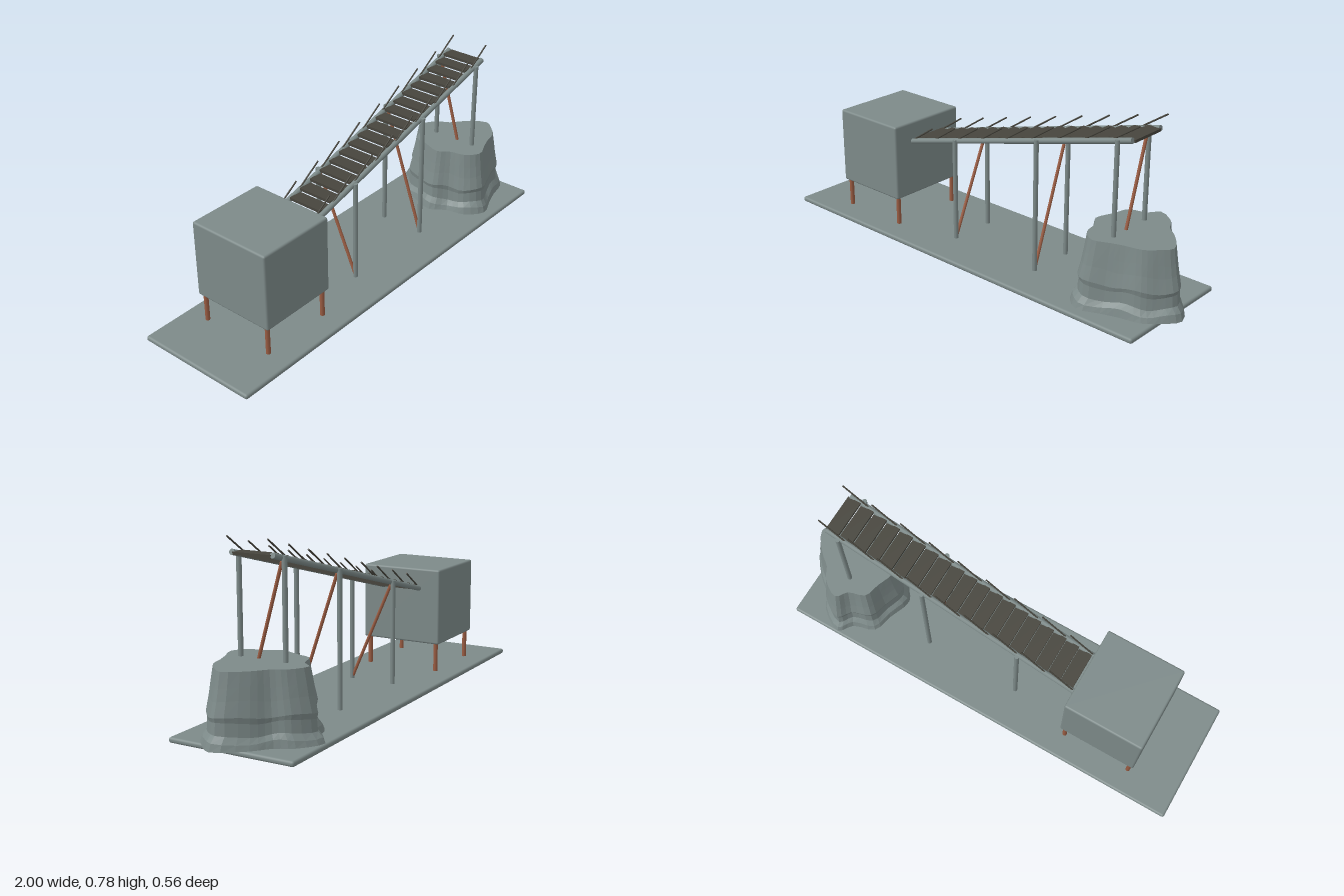
import * as THREE from 'three';
import { RoundedBoxGeometry } from 'three/addons/geometries/RoundedBoxGeometry.js';

const mat = (name, color, extra = {}) => {
  const m = new THREE.MeshStandardMaterial({ color, ...extra });
  m.name = name;
  return m;
};

export function createModel() {
  const model = new THREE.Group();
  model.name = 'rampAndRock';
  const grey = mat('slateGrey', 0x7d8a89);
  const stone = mat('slateGreyFaceted', 0x7d8a89, { flatShading: true });
  const rust = mat('rustBrown', 0x9a5c42);
  const dark = mat('darkWood', 0x47453d);

  const add = (name, geometry, material, x = 0, y = 0, z = 0) => {
    const mesh = new THREE.Mesh(geometry, material);
    mesh.name = name;
    mesh.position.set(x, y, z);
    model.add(mesh);
    return mesh;
  };
  // Round bar between two points
  const bar = (name, a, b, radius, material, sides = 10) => {
    const p = new THREE.Vector3(...a), q = new THREE.Vector3(...b);
    const dir = q.clone().sub(p);
    const mesh = add(name, new THREE.CylinderGeometry(radius, radius, dir.length(), sides), material);
    mesh.position.copy(p).add(q).multiplyScalar(0.5);
    mesh.quaternion.setFromUnitVectors(new THREE.Vector3(0, 1, 0), dir.normalize());
    return mesh;
  };

  // Base plate
  add('basePlate', new RoundedBoxGeometry(1.93, 0.023, 0.56, 2, 0.01), grey, -0.035, 0.0115, 0);

  // Cabin on four stilts
  add('cabin', new RoundedBoxGeometry(0.36, 0.345, 0.385, 2, 0.009), grey, -0.605, 0.3225, 0);
  for (const x of [-0.765, -0.445])
    for (const z of [-0.17, 0.17])
      bar('cabinLeg', [x, 0.02, z], [x, 0.16, z], 0.01, rust);

  // Sloped walkway: side beams, planks and slanted rail rods
  const deckY = (x) => 0.404 + (x + 0.43) * 0.264;
  for (const z of [-0.09, 0.09]) {
    bar('sideBeam', [-0.43, deckY(-0.43), z], [0.76, deckY(0.76), z], 0.012, grey);
    for (let i = 0; i < 9; i++) {
      const x = -0.435 + i * 0.136;
      bar('railRod', [x, deckY(x), z], [x + 0.136, deckY(x) + 0.091, z], 0.0035, dark, 8);
    }
  }
  for (let i = 0; i < 19; i++) {
    const x = -0.38 + i * 0.062;
    add('plank', new THREE.BoxGeometry(0.061, 0.012, 0.166), dark, x, deckY(x) + 0.002, 0);
  }

  // Post pairs with diagonal braces
  for (const x of [-0.15, 0.305, 0.7]) {
    for (const z of [-0.102, 0.102])
      bar('post', [x, 0.02, z], [x, deckY(x) + 0.008, z], 0.0105, grey);
    bar('brace', [x, 0.025, 0.102], [x, deckY(x) - 0.015, -0.09], 0.007, rust);
  }

  // Rock: lobed outline repeated at shrinking levels
  const cx = 0.73, cz = -0.005;
  const outline = [
    [0.995, 0.04], [0.945, 0.11], [0.885, 0.16], [0.8, 0.18], [0.725, 0.205], [0.63, 0.238],
    [0.555, 0.175], [0.535, 0.09], [0.49, 0.02], [0.525, -0.09], [0.553, -0.18],
    [0.65, -0.215], [0.7, -0.272], [0.805, -0.21], [0.845, -0.14], [0.915, -0.08],
  ].map(([x, z]) => new THREE.Vector3(x - cx, 0, z - cz));
  const ring = new THREE.CatmullRomCurve3(outline, true).getPoints(48).slice(0, 48);
  const levels = [
    [0.023, 1], [0.05, 0.965], [0.072, 0.89], [0.12, 0.875],
    [0.14, 0.895], [0.2, 0.84], [0.25, 0.805], [0.31, 0.765],
  ];
  const n = ring.length, pos = [], idx = [];
  levels.forEach(([y, s], k) => ring.forEach((p, i) => {
    const wobble = k > 0 && k < 7 ? 0.006 * Math.sin(i * 0.79 + k * 0.6) : 0;
    pos.push(cx + p.x * s, y + wobble, cz + p.z * s);
  }));
  const bottom = pos.length / 3;
  pos.push(cx, levels[0][0], cz, cx, 0.31, cz);
  const last = (levels.length - 1) * n;
  for (let i = 0; i < n; i++) {
    const j = (i + 1) % n;
    for (let k = 0; k < levels.length - 1; k++) {
      const a = k * n + i, b = k * n + j;
      idx.push(a, a + n, b, b, a + n, b + n);
    }
    idx.push(bottom, i, j, bottom + 1, last + j, last + i);
  }
  const rock = new THREE.BufferGeometry();
  rock.setAttribute('position', new THREE.Float32BufferAttribute(pos, 3));
  // The outline runs clockwise seen from below, so side and cap faces point outward
  rock.setIndex(idx);
  rock.computeVertexNormals();
  add('rock', rock, stone);

  return model;
}
